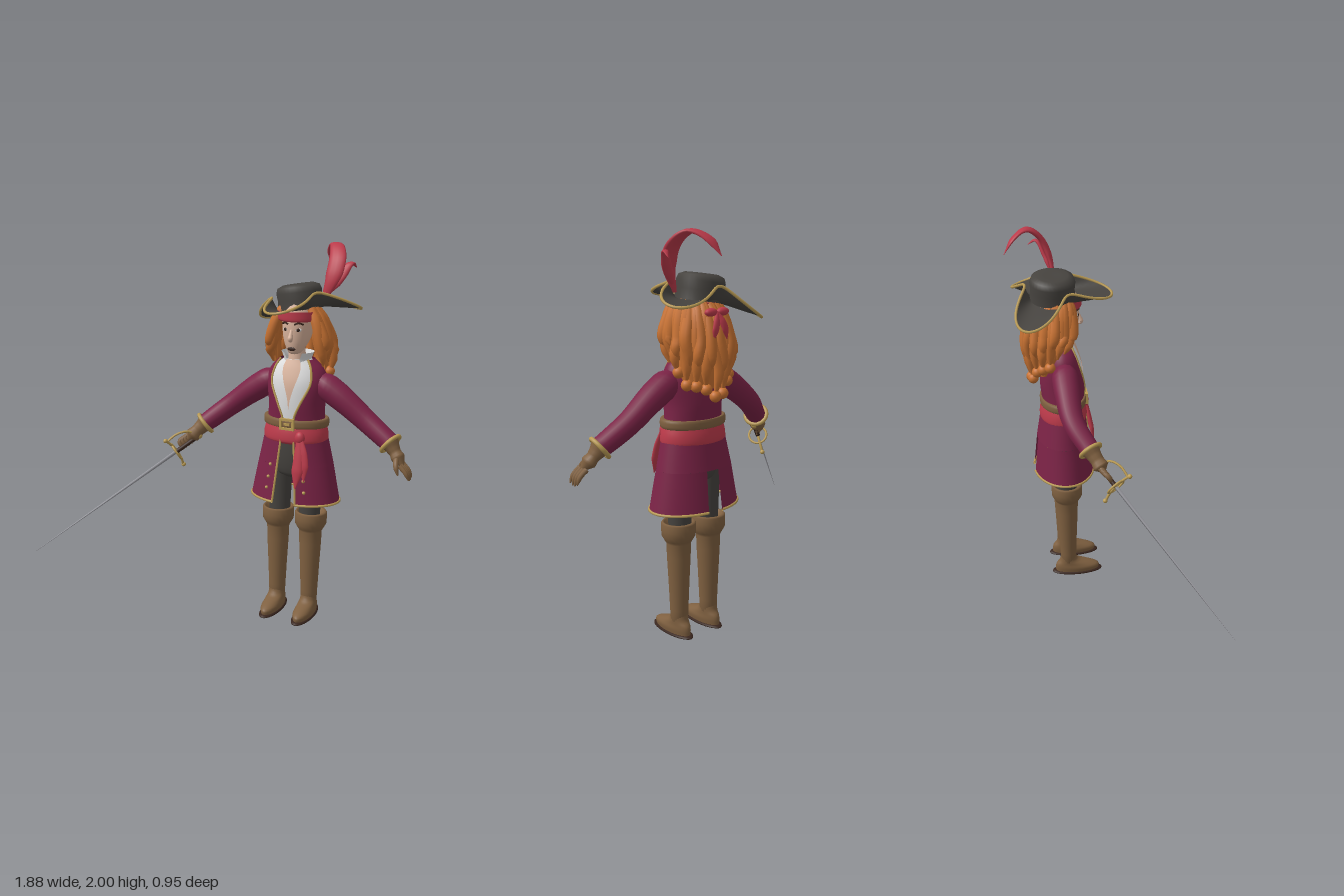
import * as THREE from 'three';
import { mergeVertices } from 'three/addons/utils/BufferGeometryUtils.js';

const V = (x, y, z) => new THREE.Vector3(x, y, z);
const PI = Math.PI;
const mat = (name, color) => {
  const m = new THREE.MeshStandardMaterial({ color, side: THREE.DoubleSide });
  m.name = name;
  return m;
};

// Point on a body of stacked ellipses; row = [y, rx, rz, cz, startAngle, endAngle], angle 0 is the front
function at(rows, t, u) {
  const full = rows.map(([y, rx, rz, cz = 0, a = 0, b = 2 * PI - a]) => [V(y, rx, rz), V(cz, a, b)]);
  const [p, q] = [0, 1].map(k => new THREE.CatmullRomCurve3(full.map(r => r[k]), false, 'catmullrom').getPoint(t));
  const ang = q.y + (q.z - q.y) * u;
  return V(p.y * Math.sin(ang), p.x, q.x + p.z * Math.cos(ang));
}

// Grid surface from a function of (column, row)
function grid(f, nu, nv) {
  const pos = [], idx = [];
  for (let j = 0; j <= nv; j++) for (let i = 0; i <= nu; i++) pos.push(...f(i / nu, j / nv).toArray());
  for (let j = 0; j < nv; j++) for (let i = 0; i < nu; i++) {
    const a = j * (nu + 1) + i, c = a + nu + 1;
    idx.push(a, a + 1, c, a + 1, c + 1, c);
  }
  const g = new THREE.BufferGeometry();
  g.setAttribute('position', new THREE.Float32BufferAttribute(pos, 3));
  g.setIndex(idx);
  const m = mergeVertices(g, 1e-5);
  m.computeVertexNormals();
  return m;
}
const loft = (rows, nu = 32) => grid((u, v) => at(rows, v, u), nu, (rows.length - 1) * 3);

// Tube whose radius follows a list, optionally flattened along the axes
function taper(points, radii, squash = V(1, 1, 1), n = 20, sides = 12) {
  const curve = new THREE.CatmullRomCurve3(points.map(p => V(...p)));
  const g = new THREE.TubeGeometry(curve, n, 1, sides, false);
  g.deleteAttribute('uv');
  g.deleteAttribute('normal');
  const pos = g.attributes.position, p = V();
  for (let i = 0; i < pos.count; i++) {
    const t = Math.floor(i / (sides + 1)) / n, k = t * (radii.length - 1), j = Math.min(Math.floor(k), radii.length - 2);
    const c = curve.getPointAt(t), r = THREE.MathUtils.lerp(radii[j], radii[j + 1], k - j);
    p.fromBufferAttribute(pos, i).sub(c).multiplyScalar(r).multiply(squash).add(c);
    pos.setXYZ(i, p.x, p.y, p.z);
  }
  const m = mergeVertices(g, 1e-6);
  m.computeVertexNormals();
  return m;
}
const cord = (pts, r, closed = false) => new THREE.TubeGeometry(new THREE.CatmullRomCurve3(pts, closed), pts.length * 2, r, 6, closed);
const range = (n, f) => Array.from({ length: n + 1 }, (_, i) => f(i / n));

export function createModel() {
  const cloth = mat('crimson coat', 0x7b2346), red = mat('red sash', 0xbb3a4a), dark = mat('charcoal', 0x46433f);
  const brown = mat('brown leather', 0x7f6040), gold = mat('gold', 0xbb9c55), white = mat('white linen', 0xdedede);
  const skin = mat('skin', 0xd9b39c), orange = mat('orange hair', 0xc87232), steel = mat('steel', 0x9c9ca2);
  const black = mat('dark brown', 0x3a261e);

  const root = new THREE.Group(), figure = new THREE.Group();
  figure.name = 'figure';
  figure.position.set(0.295, 0, -0.2);
  root.add(figure);
  const add = (name, geo, m, parent = figure, p = [0, 0, 0]) => {
    const mesh = new THREE.Mesh(geo, m);
    mesh.name = name;
    mesh.position.set(...p);
    parent.add(mesh);
    return mesh;
  };
  const ball = (name, m, p, r, scale = [1, 1, 1], parent = figure) => {
    const b = add(name, new THREE.SphereGeometry(r, 16, 12), m, parent, p);
    b.scale.set(...scale);
    return b;
  };

  // Boots and trousers
  const boot = [[0.03, 0.06], [0.044, 0.08], [0.046, 0.14], [0.052, 0.28], [0.059, 0.42], [0.061, 0.49], [0.07, 0.505],
    [0.084, 0.53], [0.086, 0.56], [0.086, 0.592], [0.08, 0.6], [0.07, 0.598], [0.055, 0.57]].map(p => new THREE.Vector2(...p));
  for (const s of [-1, 1]) {
    const leg = new THREE.Group();
    leg.name = s > 0 ? 'leftLeg' : 'rightLeg';
    leg.position.x = s * 0.095;
    figure.add(leg);
    add('boot', new THREE.LatheGeometry(boot, 24), brown, leg);
    add('foot', loft([[0.013, 0.046, 0.125, 0.05], [0.04, 0.05, 0.126, 0.05], [0.062, 0.046, 0.098, 0.028],
      [0.085, 0.044, 0.055, 0.004], [0.12, 0.043, 0.043, 0]]), brown, leg);
    add('sole', loft([[0, 0.001, 0.001, 0.05], [0, 0.048, 0.13, 0.05], [0.015, 0.048, 0.13, 0.05], [0.016, 0.001, 0.001, 0.05]]), black, leg);
    add('trouserLeg', new THREE.CylinderGeometry(0.066, 0.055, 0.3, 20), dark, leg, [-s * 0.008, 0.7, 0]);
  }
  add('trouserSeat', loft([[0.79, 0.06, 0.06], [0.82, 0.125, 0.085], [0.92, 0.14, 0.1], [1.08, 0.14, 0.1]]), dark);

  // Coat skirt with open front and back vent
  const upper = [[0.87, 0.205, 0.142, -0.006, 0.24], [0.96, 0.185, 0.13, -0.003, 0.22], [1.05, 0.165, 0.118, 0, 0.2]];
  const lower = [[0.67, 0.245, 0.165, -0.005, 0.27], [0.77, 0.225, 0.154, -0.005, 0.255], upper[0]];
  add('coatSkirt', loft(upper, 40), cloth);
  for (const s of [0, 1]) {
    const half = lower.map(r => s ? [...r.slice(0, 4), PI + 0.17, 2 * PI - r[4]] : [...r, PI - 0.17]);
    add('coatTail', loft(half, 24), cloth);
    add('hemTrim', cord(range(16, t => at(half, 0, t)), 0.007), gold);
    add('skirtEdgeTrim', cord([...range(5, t => at(half, t, s)), at(upper, 0.5, s), at(upper, 1, s)], 0.006), gold);
    for (const t of [0.35, 0.65, 0.98]) ball('button', gold, at(half, t, s ? 0.92 : 0.08).toArray(), 0.009);
  }

  // Shirt, chest and coat body
  const shirt = [[1.08, 0.148, 0.1], [1.2, 0.142, 0.106], [1.3, 0.152, 0.1], [1.37, 0.125, 0.08], [1.42, 0.07, 0.06]];
  add('shirt', loft(shirt), white);
  const opening = [0.01, 0.05, 0.2, 0.38, 0.5];
  const chest = [[1.17, 0.146, 0.112], [1.22, 0.147, 0.111], [1.3, 0.157, 0.105], [1.37, 0.13, 0.086], [1.42, 0.075, 0.067]];
  add('chest', loft(chest.map(([y, x, z], i) => [y, x, z, 0, -opening[i], opening[i]]), 12), skin);
  const coat = [[1.07, 0.158, 0.11, 0, 0.18], [1.13, 0.153, 0.116, 0, 0.22], [1.2, 0.152, 0.121, 0, 0.42], [1.3, 0.165, 0.112, 0, 0.7],
    [1.37, 0.143, 0.09, 0, 0.78], [1.42, 0.092, 0.075, 0, 0.95]];
  add('coatBody', loft(coat, 40), cloth);
  for (const s of [0, 1]) add('lapelTrim', cord(range(14, t => at(coat, t, s)), 0.006), gold);
  add('collar', loft([[1.37, 0.088, 0.078, 0, 0.5], [1.41, 0.07, 0.07, 0, 0.5], [1.455, 0.085, 0.08, 0, 0.62]]), white);
  add('neck', new THREE.CylinderGeometry(0.04, 0.05, 0.14, 20), skin, figure, [0, 1.43, 0.01]);

  // Sash, belt and buckle
  add('sash', loft([[0.985, 0.165, 0.115], [1.0, 0.175, 0.128], [1.04, 0.173, 0.126], [1.085, 0.16, 0.115]], 40), red);
  add('belt', loft([[1.072, 0.155, 0.11], [1.074, 0.175, 0.124], [1.112, 0.175, 0.124], [1.114, 0.15, 0.11]], 40), brown);
  for (const [w, h, x, y] of [[0.08, 0.012, 0, 0.024], [0.08, 0.012, 0, -0.024], [0.012, 0.05, 0.034, 0], [0.012, 0.05, -0.034, 0], [0.03, 0.012, 0, 0]])
    add('buckle', new THREE.BoxGeometry(w, h, 0.014), gold, figure, [x, 1.093 + y, 0.127]);
  ball('sashKnot', red, [0.075, 1.03, 0.13], 0.03, [0.9, 1.1, 0.7]);
  const flat = V(1, 1, 0.4);
  add('sashTail', taper([[0.075, 1.03, 0.135], [0.08, 0.92, 0.155], [0.075, 0.77, 0.18]], [0.015, 0.026, 0.032, 0.002], flat), red);
  add('sashTail', taper([[0.08, 1.03, 0.135], [0.105, 0.93, 0.15], [0.115, 0.81, 0.165]], [0.015, 0.025, 0.027, 0.002], flat), red);

  // Sleeves, gloves and hands
  const ring = (p, dir) => {
    const t = add('cuffTrim', new THREE.TorusGeometry(0.056, 0.011, 8, 24), gold, figure, p);
    t.quaternion.setFromUnitVectors(V(0, 0, 1), V(...dir).normalize());
  };
  const sleeve = [0.03, 0.07, 0.068, 0.062, 0.057, 0.054, 0.05];
  add('rightSleeve', taper([[-0.08, 1.335, 0], [-0.24, 1.235, 0], [-0.38, 1.13, 0.015], [-0.5, 1.03, 0.085]], sleeve), cloth);
  add('leftSleeve', taper([[0.08, 1.335, 0], [0.24, 1.235, 0], [0.38, 1.13, 0], [0.52, 1.035, 0.025]], sleeve), cloth);
  ring([-0.5, 1.03, 0.085], [-0.11, -0.1, 0.07]);
  ring([0.52, 1.035, 0.025], [0.13, -0.11, 0.035]);
  add('rightGlove', taper([[-0.495, 1.035, 0.082], [-0.53, 0.995, 0.11], [-0.575, 0.94, 0.145]], [0.053, 0.04, 0.035, 0.042, 0.004]), brown);
  add('leftGlove', taper([[0.515, 1.04, 0.025], [0.555, 0.99, 0.04], [0.605, 0.93, 0.065]], [0.053, 0.04, 0.032, 0.038, 0.02, 0.004], V(0.9, 0.9, 1.1)), brown);
  for (let i = 0; i < 4; i++) {
    const z = (i - 1.5) * 0.019;
    add('finger', taper([[0.59, 0.945, 0.06 + z], [0.622, 0.915, 0.065 + z], [0.64, 0.868 + Math.abs(z) * 0.4, 0.065 + z]], [0.013, 0.012, 0.011, 0.003], undefined, 10, 8), brown);
    const k = (i - 1.5) * 0.02;
    add('gripFinger', taper([[-0.565 - k * 0.6, 0.975 - k * 0.5, 0.11 + k * 0.5], [-0.6 - k * 0.6, 0.945 - k * 0.5, 0.15 + k * 0.5],
      [-0.57 - k * 0.6, 0.905 - k * 0.5, 0.155 + k * 0.5]], [0.012, 0.014, 0.012, 0.003], undefined, 10, 8), brown);
  }
  add('thumb', taper([[0.565, 0.98, 0.065], [0.575, 0.945, 0.1], [0.59, 0.9, 0.11]], [0.015, 0.014, 0.012, 0.003]), brown);

  // Sword, built along +y from the guard
  const sword = new THREE.Group();
  sword.name = 'sword';
  sword.position.set(-0.62, 0.88, 0.195);
  const along = V(-0.615, -0.525, 0.48).normalize(), depth = V(-0.015, 0.0875, 0.055).cross(along).normalize();
  sword.quaternion.setFromRotationMatrix(new THREE.Matrix4().makeBasis(along.clone().cross(depth), along, depth));
  figure.add(sword);
  add('blade', new THREE.CylinderGeometry(0.0015, 0.012, 0.94, 4), steel, sword, [0, 0.47, 0]).scale.z = 0.5;
  add('grip', new THREE.CylinderGeometry(0.012, 0.012, 0.14, 12), black, sword, [0, -0.07, 0]);
  ball('pommel', gold, [0, -0.15, 0], 0.018, [1, 1, 1], sword);
  add('crossGuard', cord([V(-0.1, 0.015, 0), V(-0.05, 0, 0), V(0.05, 0, 0), V(0.1, 0.01, 0)], 0.007), gold, sword);
  for (const x of [-0.1, 0.1]) ball('guardEnd', gold, [x, 0.012, 0], 0.012, [1, 1, 1], sword);
  add('knuckleBow', cord([V(0.09, 0, 0), V(0.095, -0.05, 0), V(0.07, -0.11, 0), V(0, -0.15, 0)], 0.006), gold, sword);
  add('guardRing', new THREE.TorusGeometry(0.048, 0.006, 8, 24), gold, sword).rotation.x = PI / 2;

  // Head and face
  add('head', loft([[1.445, 0.002, 0.002, 0.05], [1.453, 0.03, 0.028, 0.045], [1.485, 0.052, 0.056, 0.03], [1.53, 0.07, 0.079, 0.014],
    [1.59, 0.079, 0.092, 0.003], [1.65, 0.08, 0.09, 0], [1.71, 0.06, 0.07, 0]]), skin);
  add('nose', taper([[0, 1.575, 0.09], [0, 1.545, 0.1], [0, 1.525, 0.104], [0, 1.518, 0.09]], [0.006, 0.01, 0.014, 0.006]), skin);
  ball('mouth', black, [0, 1.477, 0.086], 0.022, [1, 0.45, 0.2]);
  for (const s of [-1, 1]) {
    ball('eyeWhite', white, [s * 0.035, 1.575, 0.083], 0.016, [1, 0.6, 0.3]).rotation.y = s * 0.4;
    ball('iris', black, [s * 0.035, 1.575, 0.087], 0.009, [1, 1, 0.3]).rotation.y = s * 0.4;
    add('eyebrow', cord([V(s * 0.015, 1.602, 0.093), V(s * 0.036, 1.61, 0.087), V(s * 0.056, 1.602, 0.07)], 0.005), black);
  }

  // Hair: a core with overlapping curled locks
  add('hairCore', loft([[1.27, 0.11, 0.06, -0.1, 1.5], [1.38, 0.14, 0.11, -0.06, 1.35], [1.5, 0.135, 0.13, -0.03, 1.2],
    [1.6, 0.115, 0.115, -0.02, 1.1], [1.7, 0.08, 0.09, -0.01, 1.0]]), orange);
  for (let layer = 0; layer < 2; layer++) for (let i = 0; i <= 12; i++) {
    const a = 1.12 + (i / 12) * (2 * PI - 2.24) + (layer ? 0.08 : 0), s = Math.sin(a), c = Math.cos(a);
    const back = Math.max(0, -c), wave = Math.sin(i * 2.3 + layer) * 0.01;
    const end = 1.385 - back * 0.14 + Math.sin(i * 1.7) * 0.02 + layer * 0.07, w = layer ? 0.012 : 0;
    add('hairLock', taper([[0.085 * s, 1.68, -0.01 + 0.085 * c], [0.128 * s, 1.6, -0.02 + 0.125 * c],
      [(0.15 + w) * s + wave, 1.5, -0.03 + (0.14 + w) * c], [(0.16 + w) * s - wave, (1.5 + end) / 2, -0.04 + (0.14 + w) * c],
      [0.155 * s, end, -0.05 + 0.115 * c]], [0.02, 0.029, 0.031, 0.03, 0.024, 0.004], undefined, 16, 8), orange);
    if (!layer && back > 0.1) ball('curl', orange, [0.15 * s, end, -0.05 + 0.115 * c], 0.028);
  }

  // Headband with bow
  add('headband', loft([[1.615, 0.1, 0.108, -0.005], [1.625, 0.112, 0.12, -0.012], [1.665, 0.112, 0.12, -0.012]]), red);
  for (const s of [-1, 1]) {
    ball('bowLoop', red, [s * 0.035, 1.625, -0.175], 0.032, [1.1, 0.6, 0.6]);
    add('bowTail', taper([[0, 1.62, -0.18], [s * 0.025, 1.56, -0.2], [s * 0.04, 1.5, -0.2]], [0.01, 0.018, 0.018, 0.003], V(1, 1, 0.5)), red);
  }

  // Three-lobed hat
  const hat = new THREE.Group();
  hat.name = 'hat';
  hat.position.set(-0.005, 1.665, -0.04);
  hat.rotation.z = 0.15;
  figure.add(hat);
  const crown = [[0.118, 0], [0.113, 0.05], [0.117, 0.09], [0.108, 0.115], [0.08, 0.127], [0.04, 0.126], [0, 0.125]].map(p => new THREE.Vector2(...p));
  add('crown', new THREE.LatheGeometry(crown, 32), dark, hat);
  const brim = (u, v) => {
    const a = u * 2 * PI, f = Math.pow((1 + Math.cos(3 * a)) / 2, 1.15), t = 1 - v;
    const r = THREE.MathUtils.lerp(0.1, 0.142 + 0.165 * f, t);
    const y = 0.075 * (1 - f) * t * t + f * t * (0.012 - 0.035 * (1 - Math.cos(a)));
    return V(r * Math.sin(a), y, r * Math.cos(a));
  };
  add('brim', grid(brim, 72, 8), dark, hat);
  add('brimTrim', cord(range(72, u => brim(u, 0)).slice(0, -1), 0.007, true), gold, hat);

  // Curling plume
  add('plume', taper([[0.12, 1.71, -0.02], [0.165, 1.83, -0.035], [0.17, 1.93, -0.08], [0.135, 1.985, -0.15], [0.09, 1.955, -0.22], [0.06, 1.88, -0.275]],
    [0.012, 0.03, 0.045, 0.045, 0.042, 0.035, 0.03, 0.002], V(1, 0.3, 0.35), 32), red);
  add('plumeBranch', taper([[0.14, 1.75, -0.03], [0.195, 1.83, -0.06], [0.235, 1.9, -0.1], [0.25, 1.875, -0.14]],
    [0.012, 0.03, 0.028, 0.022, 0.002], V(1, 0.4, 0.4)), red);
  return root;
}
